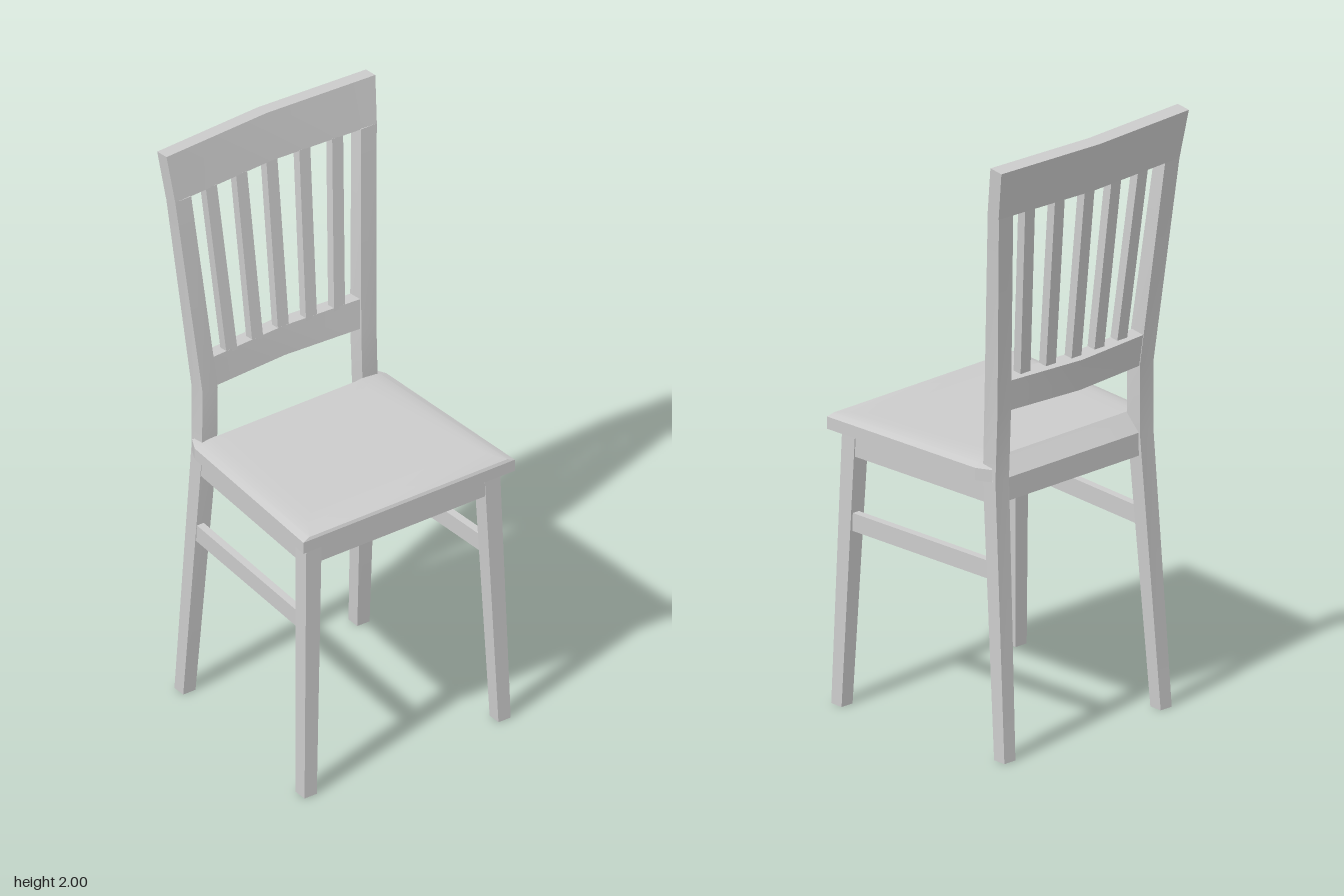
import * as THREE from 'three';
import { toCreasedNormals } from 'three/addons/utils/BufferGeometryUtils.js';

const material = new THREE.MeshStandardMaterial({ color: 0xcccccc });

// Skin a stack of rings and cap both ends.
function loft(rings, crease = 0.1) {
  const pos = [];
  const tri = (...pts) => pts.forEach((p) => pos.push(...p));
  const n = rings[0].length;
  for (let r = 0; r < rings.length - 1; r++) {
    for (let i = 0; i < n; i++) {
      const j = (i + 1) % n;
      const [a, b, c, d] = [rings[r][i], rings[r][j], rings[r + 1][j], rings[r + 1][i]];
      tri(a, b, c);
      tri(a, c, d);
    }
  }
  const first = rings[0], last = rings[rings.length - 1];
  for (let i = 1; i < n - 1; i++) {
    tri(first[0], first[i + 1], first[i]);
    tri(last[0], last[i], last[i + 1]);
  }
  const g = new THREE.BufferGeometry();
  g.setAttribute('position', new THREE.Float32BufferAttribute(pos, 3));
  return toCreasedNormals(g, crease);
}

// Upright bar: sections [y, x0, x1, z0, z1] from bottom to top.
const post = (sections) => sections.map(([y, x0, x1, z0, z1]) =>
  [[x0, y, z1], [x1, y, z1], [x1, y, z0], [x0, y, z0]]);

// Mirror rings across x = 0; the reversed order keeps faces outward.
const mirror = (rings) => rings.map((r) => r.map(([x, y, z]) => [-x, y, z])).reverse();

// Front face of the reclined back at height y, bowed rearward to the middle.
function backZ(y, x) {
  const z = y < 1.84 ? -0.235 - (y - 1.15) * 0.104 : -0.307 - (y - 1.84) * 0.17;
  return z - 0.022 * (1 - Math.min(1, Math.abs(x) / 0.38));
}

// Horizontal rail of the back, bent at the middle, its rear edges tipped down.
function backRail(y0, y1, half0, half1, extraDepth) {
  return [-1, 0, 1].map((s) => {
    const a = s * half0, b = s * half1;
    const za = backZ(y0, a), zb = backZ(y1, b);
    const depth = s === 0 ? 0.05 + extraDepth : 0.05;
    return [[a, y0 - 0.008, za - depth], [b, y1 - 0.006, zb - depth], [b, y1, zb], [a, y0, za]];
  });
}

// Seat outline: side inset d, front inset, inset of the rear corners (ear)
// and of the rear edge between the stiles (back).
function seatRing(y, d, front, ear, back) {
  const z = 0.403 - front;
  const half = [
    [0.405 - d, y, z], [0.367 - d, y, -0.23 + ear * 0.3],
    [0.342 - d, y, -0.28 + ear], [0.31 - d, y, -0.285 + back],
  ];
  return [...half, ...half.map(([x, h, w]) => [-x, h, w]).reverse()];
}

export function createModel() {
  const group = new THREE.Group();
  const add = (name, rings, crease) => {
    const mesh = new THREE.Mesh(loft(rings, crease), material);
    mesh.name = name;
    group.add(mesh);
  };
  const addPair = (name, rings) => {
    add(name + 'Left', rings);
    add(name + 'Right', mirror(rings));
  };

  // Seat with softly crowned sides and a sloped rear edge between the stiles
  add('seat', [
    seatRing(0.918, 0, 0, 0, 0),
    seatRing(0.959, 0, 0, 0, 0.041),
    seatRing(0.968, 0.025, 0.005, 0.033, 0.05),
    seatRing(0.973, 0.06, 0.06, 0.05, 0.055),
    seatRing(0.973, 0.12, 0.12, 0.11, 0.115),
  ], 0.23);

  // Panel under the seat, between the aprons
  add('seatPan', post([[0.875, -0.32, 0.32, -0.255, 0.34], [0.925, -0.32, 0.32, -0.255, 0.34]]));

  // Splayed, tapered legs; the rear ones carry on up as back stiles
  addPair('frontLeg', post([
    [0, 0.348, 0.395, 0.348, 0.395],
    [0.925, 0.312, 0.371, 0.312, 0.371],
  ]));
  addPair('rearLegAndStile', post([
    [0, 0.31, 0.357, -0.352, -0.305],
    [0.92, 0.279, 0.337, -0.29, -0.233],
    [1.15, 0.275, 0.333, -0.295, -0.235],
    [1.84, 0.325, 0.386, -0.358, -0.307],
  ]));

  // Aprons under the seat
  add('frontApron', post([[0.84, -0.33, 0.33, 0.335, 0.37], [0.92, -0.33, 0.33, 0.335, 0.37]]));
  add('rearApron', post([[0.84, -0.3, 0.3, -0.283, -0.248], [0.92, -0.3, 0.3, -0.283, -0.248]]));
  const sideBar = (y0, y1, xFront, xRear, zFront, zRear, t) => [y0, y1].map((y) =>
    [[xFront - t, y, zFront], [xFront, y, zFront], [xRear, y, zRear], [xRear - t, y, zRear]]);
  addPair('sideApron', sideBar(0.84, 0.92, 0.37, 0.335, 0.34, -0.26, 0.035));

  // Side stretchers between front and rear legs
  addPair('sideStretcher', sideBar(0.59, 0.65, 0.372, 0.34, 0.345, -0.275, 0.026));

  // Back rails
  add('topRail', backRail(1.838, 2, 0.386, 0.4, 0), 0.25);
  add('lowerRail', backRail(1.153, 1.255, 0.285, 0.295, 0.008), 0.25);

  // Fanned slats, flush with the front of the rails
  for (let i = -2; i <= 2; i++) {
    add('slat', post([[1.245, 0.103 * i], [1.84, 0.121 * i]].map(([y, x]) => {
      const z = backZ(y, x);
      return [y, x - 0.021, x + 0.021, z - 0.032, z];
    })));
  }
  return group;
}
